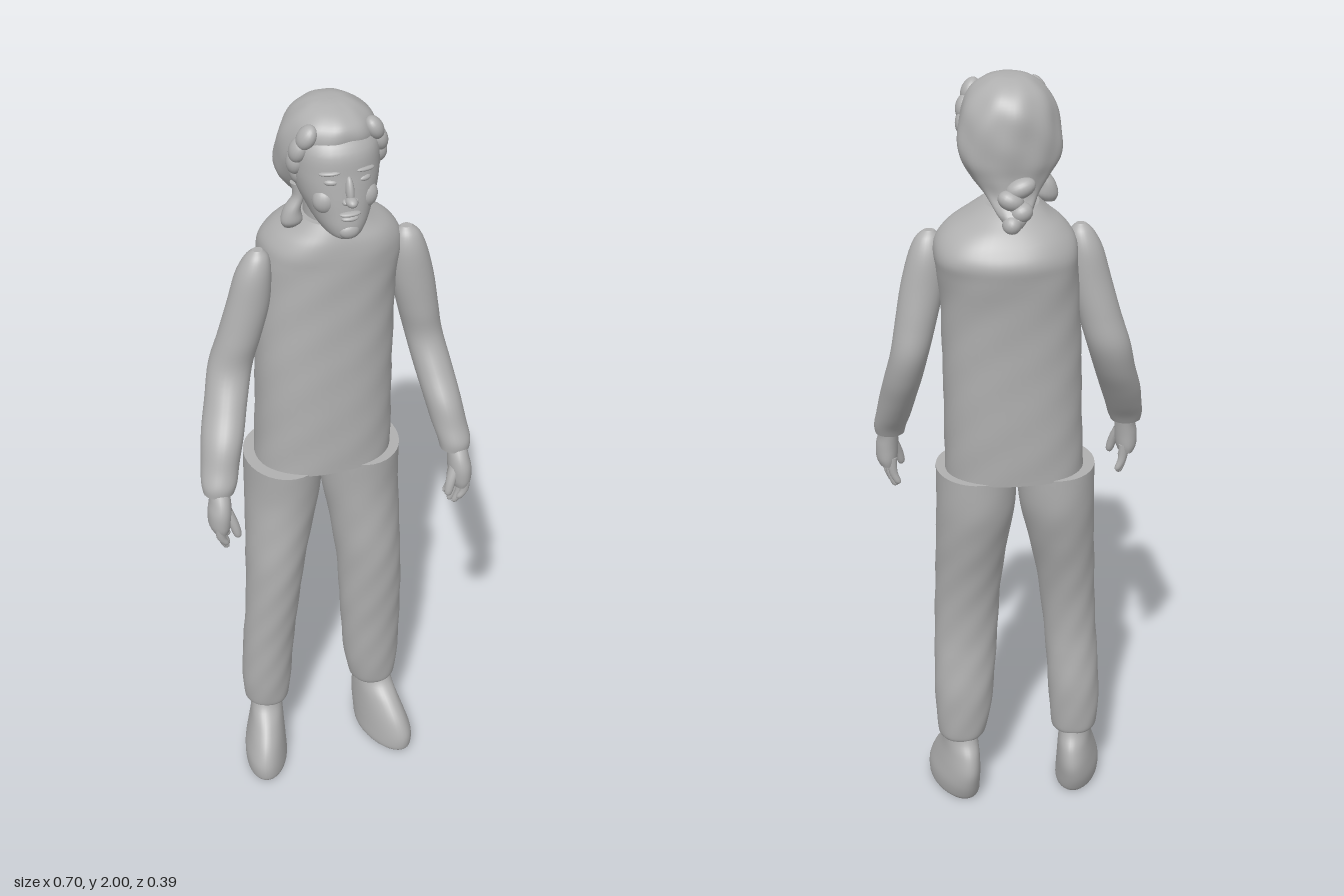
import * as THREE from 'three';

const grey = new THREE.MeshStandardMaterial({ color: 0xb0b0b0 });
grey.name = 'plain grey';

const spline = (a, b, c, d, t) =>
  0.5 * (2 * b + (c - a) * t + (2 * a - 5 * b + 4 * c - d) * t * t + (3 * b - a - 3 * c + d) * t * t * t);

// Skin over horizontal sections [y, xMin, xMax, zMin, zMax], listed bottom to top, with flat caps.
function loft(name, rows, { sides = 36, steps = 5, power = 1, skew = 0, ripple = null } = {}) {
  const rings = [];
  const at = i => rows[Math.min(Math.max(i, 0), rows.length - 1)];
  for (let i = 0; i < rows.length - 1; i++) {
    for (let s = 0; s < steps; s++) {
      rings.push(rows[0].map((_, k) => spline(at(i - 1)[k], at(i)[k], at(i + 1)[k], at(i + 2)[k], s / steps)));
    }
  }
  rings.push(at(rows.length));
  const pos = [], index = [];
  const bend = v => Math.sign(v) * Math.abs(v) ** power;
  const addRing = ([y, x0, x1, z0, z1]) => {
    for (let j = 0; j < sides; j++) {
      const a = (j / sides) * Math.PI * 2;
      const r = 1 + (ripple ? ripple(a, y) : 0);
      const dz = bend(Math.sin(a)) * r * (z1 - z0) / 2;
      pos.push((x0 + x1) / 2 + bend(Math.cos(a)) * r * (x1 - x0) / 2 + skew * dz, y, (z0 + z1) / 2 + dz);
    }
  };
  rings.forEach(addRing);
  for (let i = 0; i < rings.length - 1; i++) {
    for (let j = 0; j < sides; j++) {
      const k = (j + 1) % sides, a = i * sides, b = a + sides;
      index.push(a + j, b + j, a + k, a + k, b + j, b + k);
    }
  }
  // Caps have their own corners so that their edges stay sharp
  for (const top of [false, true]) {
    const ring = top ? rings[rings.length - 1] : rings[0];
    const start = pos.length / 3;
    addRing(ring);
    pos.push((ring[1] + ring[2]) / 2, ring[0], (ring[3] + ring[4]) / 2);
    for (let j = 0; j < sides; j++) {
      const k = (j + 1) % sides;
      index.push(start + sides, start + (top ? k : j), start + (top ? j : k));
    }
  }
  const geo = new THREE.BufferGeometry();
  geo.setAttribute('position', new THREE.Float32BufferAttribute(pos, 3));
  geo.setIndex(index);
  geo.computeVertexNormals();
  const mesh = new THREE.Mesh(geo, grey);
  mesh.name = name;
  return mesh;
}

function blob(name, p, r, rot = [0, 0, 0]) {
  const mesh = new THREE.Mesh(new THREE.SphereGeometry(1, 20, 14), grey);
  mesh.name = name;
  mesh.position.set(...p);
  mesh.scale.set(...r);
  mesh.rotation.set(...rot);
  return mesh;
}

const cloth = (a, y) => 0.01 * Math.sin(4 * a + 17 * y) * Math.sin(31 * y + 2 * a);
const curls = (a, y) => 0.012 * Math.sin(9 * a + 25 * y) + 0.01 * Math.sin(5 * a - 60 * y);

function makeHead() {
  const head = new THREE.Group();
  head.name = 'head';
  head.add(loft('neck', [
    [1.6, -0.06, 0.08, -0.1, 0.06], [1.68, -0.045, 0.065, -0.08, 0.055], [1.8, -0.045, 0.07, -0.08, 0.06]]));
  head.add(loft('face', [
    [1.697, 0, 0.036, 0.09, 0.13], [1.71, -0.025, 0.06, 0.02, 0.148], [1.735, -0.045, 0.08, -0.03, 0.153],
    [1.77, -0.062, 0.097, -0.06, 0.15], [1.81, -0.078, 0.112, -0.08, 0.146], [1.86, -0.087, 0.12, -0.09, 0.14],
    [1.92, -0.083, 0.115, -0.09, 0.13], [1.97, -0.05, 0.08, -0.06, 0.08]], { power: 0.92 }));
  head.add(loft('hair', [
    [1.66, 0, 0.03, -0.14, -0.1], [1.69, -0.025, 0.055, -0.145, -0.06], [1.73, -0.05, 0.08, -0.112, -0.01],
    [1.77, -0.08, 0.11, -0.108, 0.02], [1.81, -0.105, 0.133, -0.113, 0.045], [1.86, -0.11, 0.138, -0.116, 0.075],
    [1.92, -0.1, 0.128, -0.113, 0.112], [1.96, -0.08, 0.107, -0.095, 0.113], [1.985, -0.052, 0.077, -0.065, 0.085],
    [1.997, -0.025, 0.05, -0.03, 0.045], [2, 0.005, 0.02, 0, 0.02]], { sides: 56, ripple: curls }));
  // Nose, mouth and chin
  const cx = 0.017;
  head.add(blob('noseBridge', [cx, 1.834, 0.146], [0.01, 0.034, 0.013], [-0.3, 0, 0]));
  head.add(blob('noseTip', [cx, 1.811, 0.159], [0.014, 0.012, 0.02]));
  head.add(blob('upperLip', [cx, 1.775, 0.149], [0.026, 0.006, 0.012]));
  head.add(blob('lowerLip', [cx, 1.763, 0.149], [0.021, 0.007, 0.011]));
  head.add(blob('chin', [cx, 1.727, 0.142], [0.025, 0.02, 0.016]));
  for (const s of [-1, 1]) {
    head.add(blob('nostril', [cx + s * 0.012, 1.807, 0.15], [0.008, 0.007, 0.01]));
    head.add(blob('eye', [cx + s * 0.04, 1.852, 0.128], [0.017, 0.008, 0.01], [0, s * 0.35, 0]));
    head.add(blob('brow', [cx + s * 0.042, 1.874, 0.126], [0.026, 0.006, 0.011], [0, s * 0.35, -s * 0.1]));
    head.add(blob('cheek', [cx + s * 0.048, 1.8, 0.11], [0.03, 0.034, 0.028]));
    // Locks at the temples
    for (let i = 0; i < 5; i++) {
      head.add(blob('sideLock', [cx + s * (0.072 + 0.028 * Math.sin(i * 0.75 + 0.3)), 1.945 - i * 0.036, 0.075 - i * 0.014],
        [0.021, 0.032, 0.026], [0.3, 0, s * (0.5 - i * 0.22)]));
    }
  }
  // Hanging tuft on the right and plait at the nape
  head.add(loft('hairTuft', [
    [1.682, -0.1, -0.07, 0, 0.02], [1.7, -0.108, -0.055, -0.01, 0.035], [1.73, -0.1, -0.06, -0.01, 0.035],
    [1.765, -0.08, -0.052, 0, 0.03], [1.8, -0.085, -0.06, 0, 0.03]], { sides: 16 }));
  for (let i = 0; i < 4; i++) {
    head.add(blob('plait', [0.012 + 0.012 * (i % 2 ? 1 : -1), 1.755 - i * 0.027, -0.107 - i * 0.008],
      [0.038 - i * 0.005, 0.024, 0.026], [0, 0, i % 2 ? 0.4 : -0.4]));
  }
  return head;
}

// Each arm row is [y, xInner, xOuter] away from the middle; depth is shared
const armDepth = [[0.09, 0.165], [0.075, 0.165], [0.045, 0.15], [0.005, 0.13], [-0.035, 0.085],
  [-0.062, 0.045], [-0.06, 0.045], [-0.052, 0.045], [-0.045, 0.042], [-0.03, 0.03], [-0.012, 0.012]];
const armHeights = [1.035, 1.06, 1.1, 1.16, 1.23, 1.31, 1.39, 1.48, 1.56, 1.605, 1.625];
const armSpans = {
  right: [[0.27, 0.348], [0.26, 0.35], [0.248, 0.343], [0.228, 0.332], [0.205, 0.31], [0.18, 0.29],
    [0.157, 0.265], [0.135, 0.24], [0.13, 0.218], [0.135, 0.195], [0.15, 0.175]],
  left: [[0.27, 0.345], [0.265, 0.348], [0.255, 0.343], [0.243, 0.335], [0.23, 0.325], [0.215, 0.31],
    [0.195, 0.297], [0.175, 0.282], [0.17, 0.262], [0.18, 0.243], [0.195, 0.222]],
};

function makeArm(side) {
  const s = side === 'left' ? 1 : -1;
  const arm = new THREE.Group();
  arm.name = side + 'Arm';
  // Turns distances from the middle into a section on this side
  const row = (y, a, b, z0, z1) => [y, Math.min(s * a, s * b), Math.max(s * a, s * b), z0, z1];
  arm.add(loft('sleeve', armHeights.map((y, i) => row(y, ...armSpans[side][i], ...armDepth[i])), { sides: 28 }));
  arm.add(loft('palm', [
    row(0.935, 0.295, 0.335, 0.115, 0.185), row(0.955, 0.288, 0.343, 0.11, 0.19), row(0.99, 0.285, 0.343, 0.108, 0.19),
    row(1.02, 0.285, 0.337, 0.105, 0.18), row(1.05, 0.285, 0.335, 0.1, 0.16)], { sides: 24 }));
  // Four slightly curled fingers, front to back
  [0.9, 0.877, 0.872, 0.885].forEach((tip, i) => {
    const z = 0.177 - i * 0.018, out = 0.334 - i * 0.006, h = (0.955 - tip) / 2;
    arm.add(loft('finger', [
      row(tip, out - 0.03, out - 0.022, z - 0.004, z + 0.002), row(tip + 0.008, out - 0.034, out - 0.015, z - 0.009, z + 0.007),
      row(tip + h, out - 0.025, out - 0.003, z - 0.009, z + 0.009), row(0.96, out - 0.024, out, z - 0.01, z + 0.01)],
    { sides: 12, steps: 3 }));
  });
  arm.add(loft('thumb', [
    row(0.918, 0.272, 0.282, 0.17, 0.18), row(0.928, 0.267, 0.288, 0.164, 0.186), row(0.96, 0.273, 0.299, 0.155, 0.183),
    row(0.995, 0.285, 0.315, 0.14, 0.175)], { sides: 14, steps: 3 }));
  return arm;
}

const legHeights = [0.185, 0.2, 0.26, 0.335, 0.42, 0.5, 0.6, 0.7, 0.8, 0.9, 1];
const legDepth = [[-0.055, 0.045], [-0.06, 0.05], [-0.066, 0.058], [-0.07, 0.065], [-0.065, 0.072], [-0.062, 0.08],
  [-0.07, 0.088], [-0.09, 0.093], [-0.118, 0.092], [-0.142, 0.092], [-0.148, 0.1]];
const legSpans = {
  right: [[0.105, 0.215], [0.1, 0.222], [0.094, 0.228], [0.09, 0.226], [0.086, 0.222], [0.08, 0.217],
    [0.068, 0.213], [0.052, 0.21], [0.03, 0.204], [0.008, 0.2], [0, 0.2]],
  left: [[0.09, 0.2], [0.08, 0.207], [0.066, 0.213], [0.058, 0.215], [0.052, 0.213], [0.046, 0.211],
    [0.04, 0.21], [0.03, 0.208], [0.018, 0.206], [0.003, 0.204], [0, 0.204]],
};

function makeLeg(side) {
  const s = side === 'left' ? 1 : -1;
  const leg = new THREE.Group();
  leg.name = side + 'Leg';
  leg.add(loft('trouserLeg', legHeights.map((y, i) => {
    const [a, b] = legSpans[side][i];
    return [y, Math.min(s * a, s * b), Math.max(s * a, s * b), ...legDepth[i]];
  }), { ripple: (a, y) => 2 * cloth(a, y) * Math.min(1, (1 - y) * 3) }));
  // Shoe, toes turned outwards
  const shift = s > 0 ? 0 : -0.016;
  const c = s * 0.162 + shift;
  leg.add(loft('shoe', [
    [0, c - 0.05, c + 0.05, -0.055, 0.14], [0.012, c - 0.058, c + 0.058, -0.066, 0.149], [0.05, c - 0.058, c + 0.058, -0.082, 0.148],
    [0.095, c - 0.052 - s * 0.006, c + 0.052 - s * 0.006, -0.09, 0.128], [0.14, c - 0.046 - s * 0.012, c + 0.046 - s * 0.012, -0.08, 0.09],
    [0.175, c - 0.043 - s * 0.014, c + 0.043 - s * 0.014, -0.06, 0.052], [0.21, c - 0.042 - s * 0.014, c + 0.042 - s * 0.014, -0.05, 0.036]],
  { skew: s * 0.22 }));
  return leg;
}

export function createModel() {
  const model = new THREE.Group();
  model.name = 'figure';
  // Shirt body with a rounded shoulder line
  model.add(loft('torso', [
    [0.995, -0.17, 0.18, -0.155, 0.1], [1.1, -0.166, 0.182, -0.16, 0.1], [1.3, -0.16, 0.183, -0.167, 0.098],
    [1.45, -0.152, 0.187, -0.176, 0.094], [1.54, -0.148, 0.198, -0.188, 0.092], [1.585, -0.146, 0.205, -0.193, 0.091],
    [1.62, -0.138, 0.196, -0.178, 0.09], [1.65, -0.115, 0.168, -0.155, 0.086], [1.675, -0.083, 0.122, -0.128, 0.078],
    [1.7, -0.056, 0.078, -0.1, 0.066]], { sides: 48, power: 0.88, ripple: cloth }));
  model.add(makeHead());
  for (const side of ['left', 'right']) model.add(makeArm(side), makeLeg(side));
  return model;
}
